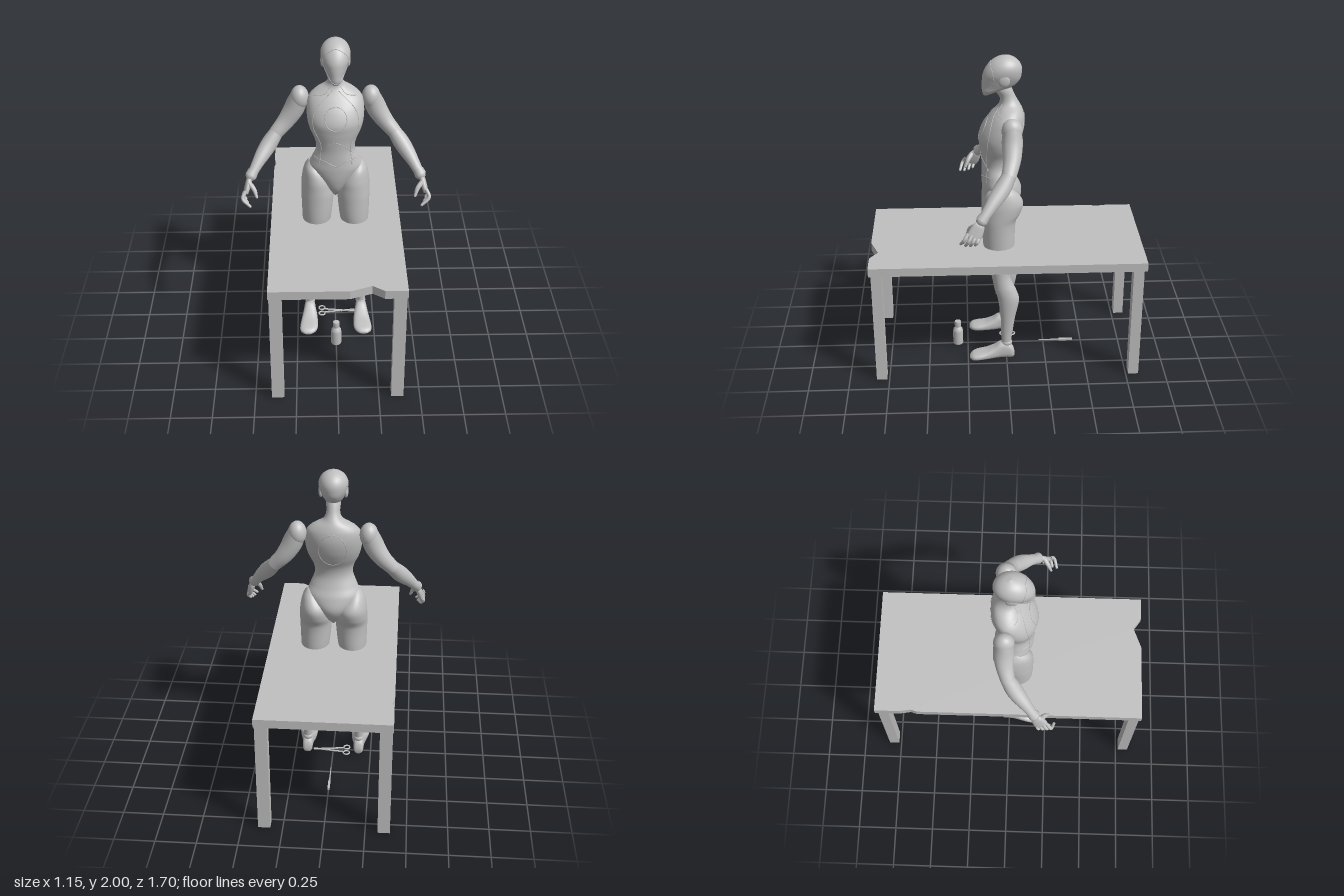
import * as THREE from 'three';

const grey = new THREE.MeshStandardMaterial({ color: 0xc0c0c0 });
grey.name = 'plain grey';

// Smoothly interpolated cross-section from rows [t, x0, x1, z0, z1]
function section(rows, t) {
  let i = 0;
  while (i < rows.length - 2 && t > rows[i + 1][0]) i++;
  const a = rows[i], b = rows[i + 1], h = b[0] - a[0], s = (t - a[0]) / h;
  const p = rows[Math.max(i - 1, 0)], q = rows[Math.min(i + 2, rows.length - 1)];
  return [1, 2, 3, 4].map(k => {
    const m0 = (b[k] - p[k]) / (b[0] - p[0]) * h, m1 = (q[k] - a[k]) / (q[0] - a[0]) * h;
    const s2 = s * s, s3 = s2 * s;
    return (2 * s3 - 3 * s2 + 1) * a[k] + (s3 - 2 * s2 + s) * m0 + (3 * s2 - 2 * s3) * b[k] + (s3 - s2) * m1;
  });
}

// Closed body lofted along y through superelliptic sections
function loft(rows, steps = 60, sides = 40, power = 2) {
  const pos = [], idx = [], t0 = rows[0][0], t1 = rows[rows.length - 1][0];
  const bend = v => Math.sign(v) * Math.pow(Math.abs(v), 2 / power);
  for (let i = 0; i <= steps; i++) {
    const t = t0 + (t1 - t0) * i / steps, [x0, x1, z0, z1] = section(rows, t);
    for (let j = 0; j < sides; j++) {
      const a = j / sides * Math.PI * 2;
      pos.push((x0 + x1) / 2 + (x1 - x0) / 2 * bend(Math.cos(a)), t, (z0 + z1) / 2 + (z1 - z0) / 2 * bend(Math.sin(a)));
      if (i < steps) {
        const k = (j + 1) % sides, p = i * sides, n = p + sides;
        idx.push(p + j, n + j, p + k, p + k, n + j, n + k);
      }
    }
  }
  const top = steps * sides;
  for (let j = 1; j < sides - 1; j++) idx.push(0, j, j + 1, top, top + j + 1, top + j);
  const g = new THREE.BufferGeometry();
  g.setAttribute('position', new THREE.Float32BufferAttribute(pos, 3));
  g.setIndex(idx);
  g.computeVertexNormals();
  return g;
}

const curveOf = (pts, closed = false) => new THREE.CatmullRomCurve3(pts.map(p => new THREE.Vector3(...p)), closed);

// Tube whose radius follows a list spread evenly along its length
function limb(pts, radii, steps = 24, sides = 20) {
  const curve = curveOf(pts), g = new THREE.TubeGeometry(curve, steps, 1, sides), pos = g.attributes.position;
  const rows = radii.map((r, i) => [i / (radii.length - 1), r, r, r, r]), v = new THREE.Vector3();
  for (let i = 0; i < pos.count; i++) {
    const u = Math.floor(i / (sides + 1)) / steps, c = curve.getPointAt(u);
    v.fromBufferAttribute(pos, i).sub(c).multiplyScalar(Math.max(section(rows, u)[0], 0)).add(c);
    pos.setXYZ(i, v.x, v.y, v.z);
  }
  return g;
}

const ball = (x, y, z, rx, ry = rx, rz = rx) => new THREE.SphereGeometry(1, 24, 16).scale(rx, ry, rz).translate(x, y, z);

// Fine raised panel line lying on the front (1) or back (-1) of a loft
function seam(rows, pts, face = 1, closed = false) {
  const flat = curveOf(pts.map(([x, y]) => [x, y, 0]), closed).getPoints(40);
  if (closed) flat.pop();
  const on = flat.map(p => {
    const [x0, x1, z0, z1] = section(rows, p.y), u = (2 * p.x - x0 - x1) / (x1 - x0);
    return [p.x, p.y, (z0 + z1) / 2 + face * (z1 - z0) / 2 * Math.sqrt(Math.max(0, 1 - u * u))];
  });
  return new THREE.TubeGeometry(curveOf(on, closed), 60, 0.0025, 6, closed);
}

function mirrored(g) {
  const m = g.clone().scale(-1, 1, 1), a = m.index.array;
  for (let i = 0; i < a.length; i += 3) [a[i], a[i + 1]] = [a[i + 1], a[i]];
  return m;
}

const sym = rows => rows.map(([y, w, b, f]) => [y, -w, w, b, f]);
const torsoRows = sym([
  [0.975, 0.015, 0.0, 0.07], [1.03, 0.06, -0.06, 0.115], [1.1, 0.12, -0.095, 0.138], [1.18, 0.165, -0.082, 0.147],
  [1.24, 0.145, -0.055, 0.147], [1.31, 0.118, -0.034, 0.147], [1.37, 0.125, -0.04, 0.152], [1.44, 0.155, -0.075, 0.161],
  [1.5, 0.17, -0.1, 0.164], [1.57, 0.172, -0.115, 0.135], [1.63, 0.158, -0.112, 0.09], [1.67, 0.115, -0.1, 0.052],
  [1.7, 0.062, -0.085, 0.034], [1.74, 0.042, -0.062, 0.036], [1.79, 0.044, -0.04, 0.07], [1.83, 0.04, -0.02, 0.08]]);
const headRows = sym([
  [1.755, 0.018, 0.1, 0.132], [1.78, 0.042, 0.04, 0.14], [1.81, 0.057, -0.045, 0.141], [1.85, 0.073, -0.085, 0.14],
  [1.89, 0.086, -0.097, 0.134], [1.93, 0.086, -0.096, 0.115], [1.965, 0.069, -0.077, 0.085], [1.99, 0.038, -0.042, 0.043],
  [2.0, 0.004, -0.004, 0.004]]);
const legRows = [
  [0.06, 0.142, 0.197, -0.03, 0.034], [0.12, 0.14, 0.197, -0.03, 0.032], [0.2, 0.136, 0.2, -0.04, 0.035],
  [0.3, 0.127, 0.205, -0.055, 0.038], [0.43, 0.113, 0.21, -0.08, 0.055], [0.5, 0.105, 0.207, -0.06, 0.075],
  [0.55, 0.098, 0.202, -0.035, 0.085], [0.6, 0.085, 0.2, -0.022, 0.095], [0.7, 0.055, 0.203, -0.035, 0.118],
  [0.8, 0.03, 0.207, -0.05, 0.143], [0.97, 0.012, 0.212, -0.06, 0.148], [1.03, 0.012, 0.212, -0.09, 0.147],
  [1.1, 0.026, 0.207, -0.103, 0.142], [1.17, 0.08, 0.19, -0.06, 0.115], [1.21, 0.12, 0.165, -0.005, 0.06]];
// Foot runs along z after turning: columns are z, inner, outer, minus top, minus bottom
const footRows = [
  [-0.05, 0.15, 0.19, -0.05, -0.012], [-0.04, 0.14, 0.2, -0.08, 0], [0, 0.135, 0.205, -0.115, 0],
  [0.04, 0.13, 0.21, -0.113, 0], [0.08, 0.122, 0.218, -0.085, 0], [0.13, 0.118, 0.228, -0.06, 0],
  [0.19, 0.12, 0.235, -0.045, 0], [0.22, 0.135, 0.228, -0.036, 0], [0.238, 0.16, 0.205, -0.022, -0.006]];

export function createModel() {
  const model = new THREE.Group();
  const add = (name, g, parent = model) => {
    const m = new THREE.Mesh(g, grey);
    m.name = name;
    parent.add(m);
  };
  const group = name => {
    const g = new THREE.Group();
    g.name = name;
    model.add(g);
    return g;
  };

  // Table: top with two broken edges, and four legs
  const table = group('table');
  const outline = [[-0.405, -0.85], [0.405, -0.85], [0.405, 0.845], [0.27, 0.845], [0.2, 0.795], [0.07, 0.845],
    [-0.405, 0.845], [-0.405, -0.58], [-0.393, -0.62], [-0.405, -0.69]];
  const top = new THREE.Shape(outline.map(p => new THREE.Vector2(...p)));
  add('tableTop', new THREE.ExtrudeGeometry(top, { depth: 0.055, bevelEnabled: false }).rotateX(Math.PI / 2).translate(0, 0.805, 0), table);
  for (const x of [-1, 1]) for (const z of [-1, 1])
    add('tableLeg', new THREE.BoxGeometry(0.075, 0.752, 0.065).translate(x * 0.363, 0.376, z * 0.798), table);

  // Mannequin core
  const body = group('mannequin');
  const both = (name, g) => {
    add(name + 'Left', g, body);
    add(name + 'Right', mirrored(g), body);
  };
  add('torso', loft(torsoRows, 100, 48), body);
  add('head', loft(headRows, 60, 40), body);
  const circle = (r, y, s = 1) => Array.from({ length: 16 }, (_, i) => [r * Math.cos(i * Math.PI / 8), y + s * r * Math.sin(i * Math.PI / 8)]);
  add('chestRing', seam(torsoRows, circle(0.066, 1.54), 1, true), body);
  add('backPanel', seam(torsoRows, circle(0.085, 1.52, 1.3), -1, true), body);
  add('maskEdge', seam(headRows, [[0, 1.765], [0.048, 1.81], [0.073, 1.87], [0.068, 1.92], [0, 1.965], [-0.068, 1.92], [-0.073, 1.87], [-0.048, 1.81]], 1, true), body);
  both('ear', ball(0.075, 1.865, 0.01, 0.014, 0.04, 0.035));
  both('collar', seam(torsoRows, [[0.03, 1.7], [0.06, 1.665], [0.13, 1.645]]));
  both('ribSeam', seam(torsoRows, [[0, 1.39], [0.05, 1.36], [0.1, 1.3]]));
  both('chestSeam', seam(torsoRows, [[0.02, 1.68], [0.12, 1.58], [0.135, 1.48], [0.09, 1.36], [0.1, 1.22]]));
  both('hipSeam', seam(torsoRows, [[0, 1.22], [0.06, 1.25], [0.13, 1.26]]));

  // Legs and feet
  both('leg', loft(legRows, 90, 36));
  both('kneeSeam', seam(legRows, [[0.112, 0.54], [0.155, 0.47], [0.198, 0.52]]));
  both('foot', loft(footRows, 40, 32, 2.5).rotateX(Math.PI / 2));
  both('ankle', ball(0.168, 0.11, 0.0, 0.033, 0.025, 0.036));

  // Arms
  both('shoulder', ball(0.215, 1.605, -0.03, 0.056, 0.075, 0.062));
  both('upperArm', limb([[0.215, 1.62, -0.03], [0.25, 1.53, -0.03], [0.3, 1.45, -0.025], [0.36, 1.38, -0.005]],
    [0.052, 0.062, 0.058, 0.05, 0.044]));
  both('elbow', ball(0.36, 1.38, -0.005, 0.043));
  both('forearm', limb([[0.36, 1.38, -0.005], [0.41, 1.315, 0.04], [0.46, 1.25, 0.095], [0.507, 1.18, 0.15]],
    [0.043, 0.05, 0.046, 0.036, 0.029]));
  both('wristBand', limb([[0.5, 1.195, 0.14], [0.515, 1.17, 0.16]], [0.033, 0.036], 4));
  both('wrist', ball(0.512, 1.172, 0.157, 0.034));

  // Hands
  both('palm', loft([[-0.055, -0.014, 0.016, -0.042, 0.042], [-0.02, -0.017, 0.018, -0.043, 0.043],
    [0.03, -0.016, 0.018, -0.032, 0.032], [0.05, -0.008, 0.008, -0.015, 0.015]], 16, 20, 2.4)
    .rotateX(-0.45).rotateZ(0.3).translate(0.532, 1.123, 0.185));
  [-1.5, -0.5, 0.5, 1.5].forEach((k, i) => {
    const z = 0.21 + k * 0.021, len = [0.85, 1, 1.05, 0.95][i];
    const tip = [0.548 - 0.01 * i, 1.085 - 0.06 * len, z + 0.03 + k * 0.007];
    both('finger', limb([[0.545, 1.095 + k * 0.01, z - 0.005], [0.562, 1.095 - 0.035 * len + k * 0.006, z + 0.015 + k * 0.004], tip],
      [0.012, 0.011, 0.0085], 10, 10));
    both('fingerTip', ball(...tip, 0.0085));
  });
  both('thumb', limb([[0.525, 1.145, 0.2], [0.495, 1.115, 0.225], [0.478, 1.07, 0.245]], [0.016, 0.014, 0.008], 10, 10));
  both('thumbTip', ball(0.478, 1.07, 0.245, 0.008));

  // Bottle
  const profile = [[0, 0], [0.03, 0], [0.033, 0.006], [0.033, 0.095], [0.03, 0.112], [0.019, 0.126], [0.017, 0.132],
    [0.021, 0.134], [0.021, 0.168], [0.018, 0.171], [0, 0.171]].map(p => new THREE.Vector2(...p));
  add('bottle', new THREE.LatheGeometry(profile, 32).translate(0, 0, 0.315));

  // Scissors lying between the feet
  const scissors = group('scissors');
  for (const s of [-1, 1]) {
    add('handleRing', new THREE.TorusGeometry(0.02, 0.005, 8, 24).rotateX(Math.PI / 2).translate(-0.09, 0.007, -0.015 + s * 0.03), scissors);
    add('blade', new THREE.BoxGeometry(0.2, 0.005, 0.011).rotateY(s * 0.13).translate(0.03, 0.007 + s * 0.002, -0.015 + s * 0.006), scissors);
  }
  add('pivot', new THREE.CylinderGeometry(0.006, 0.006, 0.014, 12).translate(0.04, 0.007, -0.015), scissors);

  // Scalpel behind the figure
  const scalpel = group('scalpel');
  add('handle', new THREE.BoxGeometry(0.014, 0.012, 0.09).translate(0, 0.008, -0.4), scalpel);
  add('shaft', new THREE.CylinderGeometry(0.002, 0.005, 0.14, 8).rotateX(Math.PI / 2).translate(0, 0.008, -0.29), scalpel);
  return model;
}
